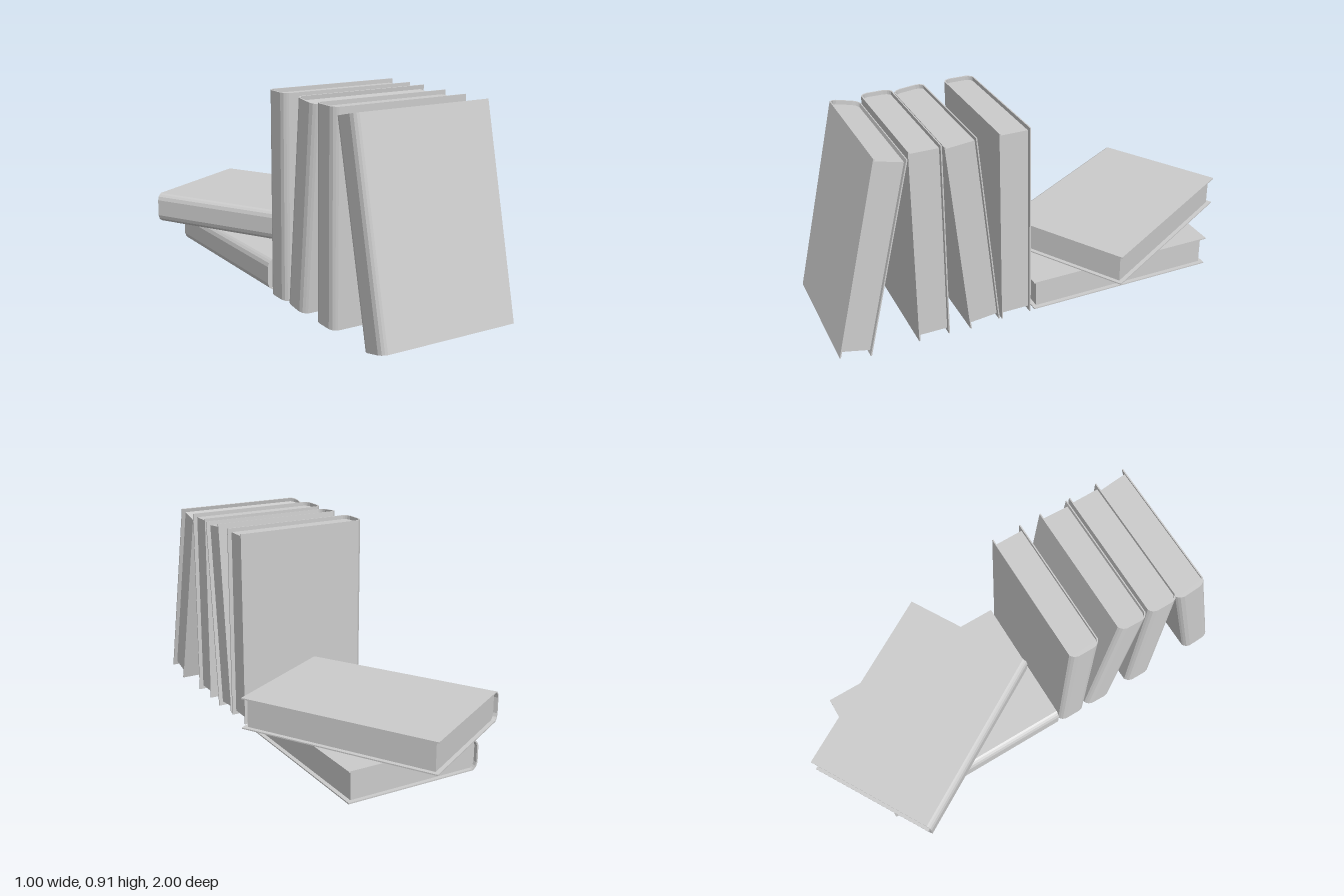
import * as THREE from 'three';

const HEIGHT = 0.9, RECESS = 0.018;
// Upper half of the bevelled spine profile: [x, half thickness]
const OUTER = [[-0.292, 0.07], [-0.301, 0.064], [-0.31, 0.055], [-0.316, 0.038]];
const INNER = [[-0.289, 0.0645], [-0.297, 0.059], [-0.304, 0.051], [-0.309, 0.036]];

// Full profile from the top fore edge, round the spine, to the bottom fore edge
function profile(half, foreEdge) {
  const top = [[foreEdge, half[0][1]], ...half];
  const bottom = top.map(([x, y]) => [x, -y]).reverse();
  return [...top, ...bottom].map(([x, y]) => new THREE.Vector2(x, y));
}

// Extrude a profile into an upright piece centred on the origin
function upright(points, height) {
  const geo = new THREE.ExtrudeGeometry(new THREE.Shape(points), { depth: height, bevelEnabled: false });
  geo.translate(0, 0, -height / 2);
  geo.rotateX(-Math.PI / 2);
  return geo;
}

export function createModel() {
  const group = new THREE.Group();
  const material = new THREE.MeshStandardMaterial({ color: 0xcccccc, flatShading: true });

  // Cover wraps both boards and the spine; pages sit back from its edges
  const coverGeo = upright([...profile(OUTER, 0.316), ...profile(INNER, 0.316).reverse()], HEIGHT);
  const pagesGeo = upright(profile(INNER, 0.297), HEIGHT - 2 * RECESS);

  function addBook(name, y, z, tilt, turn = 0) {
    const book = new THREE.Group();
    book.name = name;
    const cover = new THREE.Mesh(coverGeo, material);
    cover.name = 'cover';
    const pages = new THREE.Mesh(pagesGeo, material);
    pages.name = 'pages';
    book.add(cover, pages);
    book.position.set(0, y, z);
    // Tilt about x first, then turn about y
    book.rotation.set(THREE.MathUtils.degToRad(tilt), THREE.MathUtils.degToRad(turn), 0, 'YXZ');
    group.add(book);
  }

  // Standing row, front to back
  addBook('leaningFrontBook', 0.455, 0.828, -13.4);
  addBook('standingFrontBook', 0.4585, 0.583, 0);
  addBook('leaningMiddleBook', 0.456, 0.39, 5.5);
  addBook('standingBackBook', 0.4585, 0.197, 0);

  // Stack lying behind the row
  addBook('lyingLowerBook', 0.082, -0.341, -90);
  addBook('lyingUpperBook', 0.228, -0.455, -90, 30);

  return group;
}
